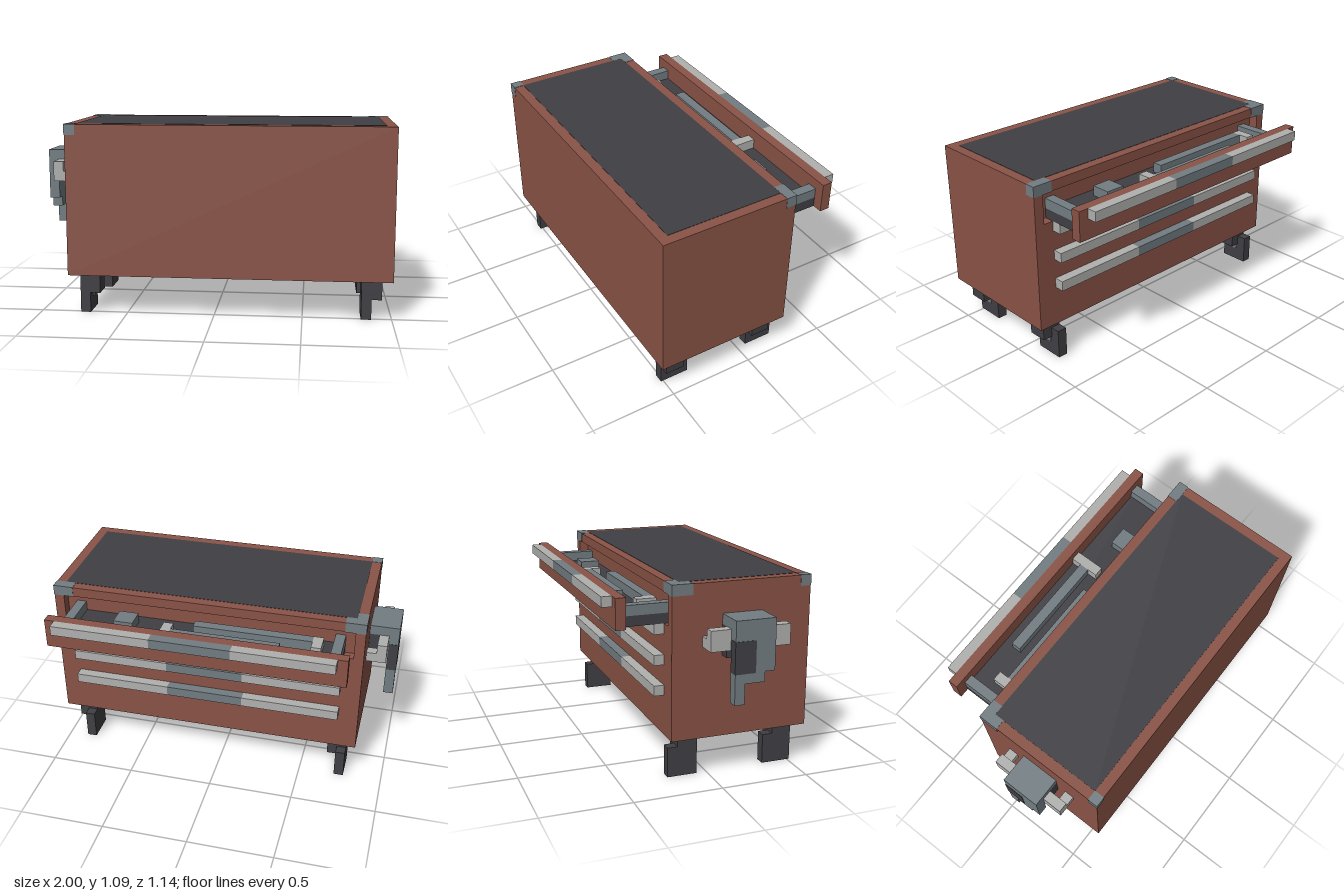
import * as THREE from 'three';

const U = 2 / 35; // size of one block

const material = (name, color) => {
  const m = new THREE.MeshStandardMaterial({ color });
  m.name = name;
  return m;
};

export function createModel() {
  const rust = material('rust red', 0x8a5346);
  const dark = material('charcoal', 0x403f44);
  const steel = material('steel grey', 0x727d82);
  const light = material('light grey', 0xb0b1af);

  const model = new THREE.Group();
  model.name = 'toolChest';

  const group = (name) => {
    const g = new THREE.Group();
    g.name = name;
    model.add(g);
    return g;
  };

  // Box between two corners in block units; grow makes it slightly proud
  const box = (parent, name, mat, [x0, y0, z0], [x1, y1, z1], grow = 0) => {
    const geo = new THREE.BoxGeometry((x1 - x0) * U + grow, (y1 - y0) * U + grow, (z1 - z0) * U + grow);
    const mesh = new THREE.Mesh(geo, mat);
    mesh.name = name;
    mesh.position.set(((x0 + x1) / 2 - 17.5) * U, ((y0 + y1) / 2) * U, ((z0 + z1) / 2 - 10) * U);
    parent.add(mesh);
    return mesh;
  };

  // Cabinet with a framed drawer opening at the back
  const cabinet = group('cabinet');
  box(cabinet, 'cabinetBody', rust, [3, 4, 7], [35, 19, 20]);
  const rect = (T, x0, y0, x1, y1) => {
    const p = new T();
    p.moveTo(x0 * U, y0 * U);
    p.lineTo(x1 * U, y0 * U);
    p.lineTo(x1 * U, y1 * U);
    p.lineTo(x0 * U, y1 * U);
    p.closePath();
    return p;
  };
  const face = rect(THREE.Shape, 3, 4, 35, 19);
  face.holes.push(rect(THREE.Path, 4, 15, 34, 18));
  const frame = new THREE.Mesh(new THREE.ExtrudeGeometry(face, { depth: U, bevelEnabled: false }), rust);
  frame.name = 'backFrame';
  frame.position.set(-17.5 * U, 0, -4 * U);
  cabinet.add(frame);
  box(cabinet, 'topMat', dark, [4, 18.98, 7], [34, 19.03, 19]);

  // Steel corner guards
  const corners = group('cornerGuards');
  for (const [x0, z0, x1, z1] of [[3, 6, 5, 7], [3, 7, 4, 8], [33, 6, 35, 7], [3, 19, 4, 20]]) {
    box(corners, 'cornerGuard', steel, [x0, 18, z0], [x1, 19, z1], 0.004);
  }

  // Long handles with a steel grip in the middle
  const handle = (parent, y, z) => {
    box(parent, 'handleEnd', light, [5, y, z], [15, y + 1, z + 1]);
    box(parent, 'handleGrip', steel, [15, y, z], [23, y + 1, z + 1]);
    box(parent, 'handleEnd', light, [23, y, z], [33, y + 1, z + 1]);
  };
  const handles = group('drawerHandles');
  for (const y of [8, 11, 14]) handle(handles, y, 5);

  // Open drawer
  const drawer = group('openDrawer');
  box(drawer, 'drawerFront', rust, [4, 15, 1], [34, 18, 2]);
  box(drawer, 'drawerFloor', dark, [5, 15, 2], [33, 16, 7]);
  for (const x of [5, 32]) box(drawer, 'drawerSide', steel, [x, 16, 2], [x + 1, 17, 7]);
  handle(drawer, 17, 0);

  // Tools lying in the drawer
  const tools = group('tools');
  box(tools, 'hammerHandle', steel, [11, 16, 3], [22, 17, 4]);
  box(tools, 'hammerHead', light, [22, 16, 2], [23, 17, 5]);
  box(tools, 'wrenchHandle', steel, [8, 16, 5], [20, 17, 6]);
  box(tools, 'wrenchHead', light, [7, 16, 4], [8, 17, 6]);
  box(tools, 'smallBlock', steel, [26, 16, 4], [28, 17, 6]);

  // Side rail with brackets
  const rail = group('sideRail');
  box(rail, 'railBar', light, [1, 13, 9], [2, 15, 17]);
  for (const z of [9, 16]) box(rail, 'railBracket', light, [2, 13, z], [3, 14, z + 1]);

  // Cloth draped over the rail, with a ragged lower edge
  const cloth = group('cloth');
  box(cloth, 'clothTop', steel, [0, 15, 11], [3, 16, 15]);
  box(cloth, 'clothBack', dark, [2, 12, 11], [3, 15, 15]);
  for (const [z0, z1, y] of [[11, 12, 8], [12, 14, 10], [14, 15, 11]]) {
    box(cloth, 'clothHang', steel, [0, y, z0], [1, 15, z1]);
  }
  box(cloth, 'clothStain', dark, [0, 11, 11], [0.9, 14, 13], 0.005);

  // Four casters
  for (const x of [4, 32]) {
    for (const z of [6, 16]) {
      const caster = group('caster');
      box(caster, 'casterBracket', dark, [x, 3, z + 1], [x + 2, 4, z + 3]);
      box(caster, 'casterFork', dark, [x + 1, 2, z + 1], [x + 2, 3, z + 3]);
      box(caster, 'casterWheel', dark, [x, 0, z], [x + 1, 3, z + 3]);
      box(caster, 'casterHub', steel, [x + 0.95, 1.35, z + 1.2], [x + 1.05, 2, z + 1.9]);
    }
  }

  return model;
}
